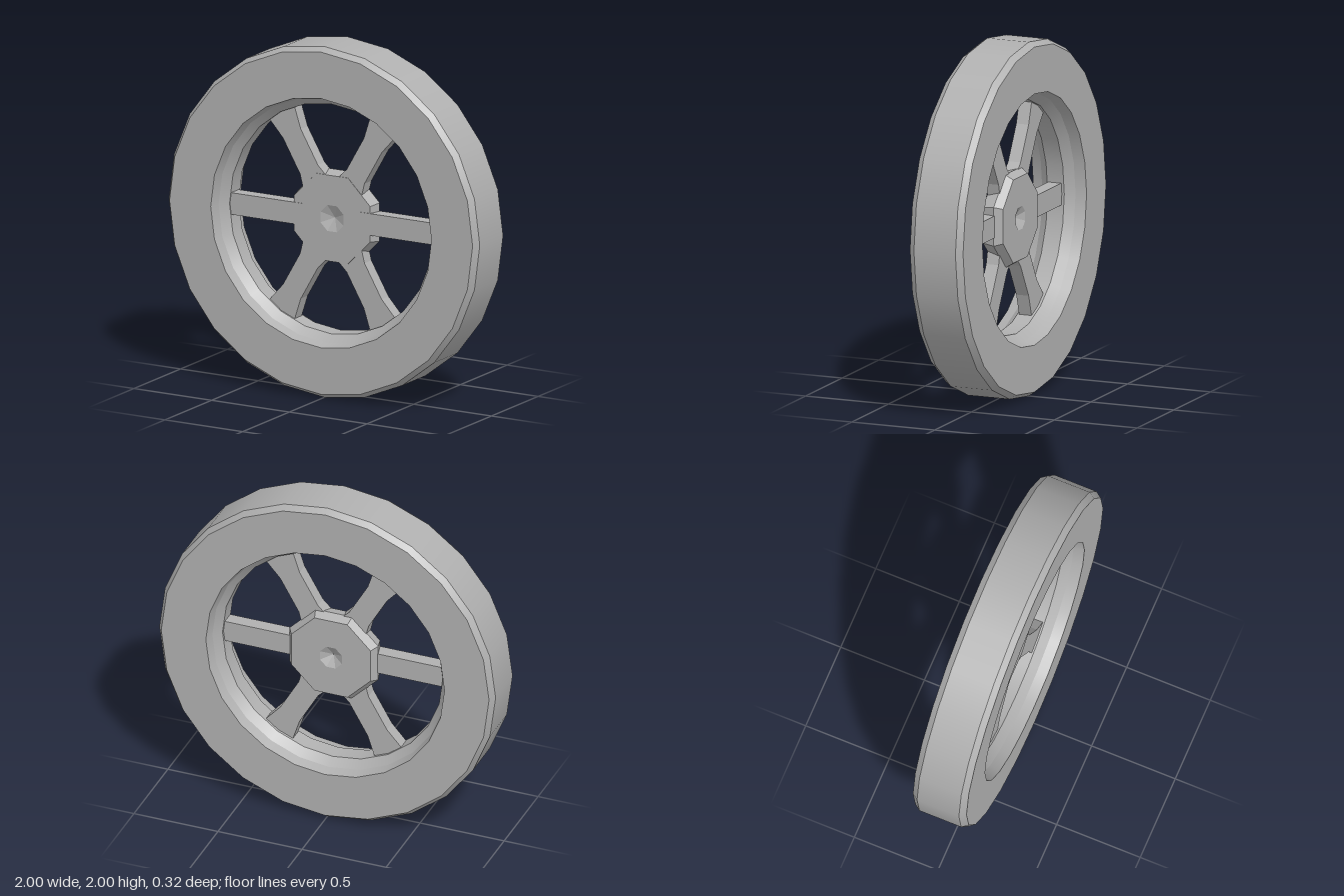
import * as THREE from 'three';
import { mergeGeometries } from 'three/addons/utils/BufferGeometryUtils.js';

// Revolve a profile of [radius, z] points around z, with a crease at each profile point
function ring(profile, segments) {
  const strips = [];
  for (let i = 0; i < profile.length - 1; i++) {
    const pts = [profile[i], profile[i + 1]].map(([r, z]) => new THREE.Vector2(r, z));
    strips.push(new THREE.LatheGeometry(pts, segments));
  }
  return mergeGeometries(strips).rotateX(Math.PI / 2);
}

// Flat spoke along +x, widened at hub and rim by the given flares
function spokeGeometry(hubHalf, half, rimHalf, back, front) {
  const side = [[0.18, hubHalf], [0.3, half], [0.52, half], [0.68, rimHalf]];
  const outline = [...side.map(([x, y]) => [x, -y]), ...side.slice().reverse()];
  const shape = new THREE.Shape(outline.map(([x, y]) => new THREE.Vector2(x, y)));
  const geo = new THREE.ExtrudeGeometry(shape, { depth: front - back, bevelEnabled: false });
  return geo.translate(0, 0, back);
}

export function createModel() {
  const model = new THREE.Group();
  model.name = 'wheel';
  const grey = new THREE.MeshStandardMaterial({ color: 0xb0b0b0 });
  grey.name = 'plain grey';

  const add = (name, geometry) => {
    const mesh = new THREE.Mesh(geometry, grey);
    mesh.name = name;
    mesh.position.y = 1;
    model.add(mesh);
    return mesh;
  };

  // Rim: bevelled outer edges, inner wall narrowing to a ridge in the middle
  add('rim', ring([
    [0.975, -0.16], [1, -0.125], [1, 0.125], [0.975, 0.16],
    [0.71, 0.16], [0.695, 0.1], [0.655, 0.05], [0.655, -0.05],
    [0.695, -0.1], [0.71, -0.16], [0.975, -0.16],
  ], 24));

  // Hub: faceted octagonal boss, dimpled on both sides
  const hubProfile = [[0, -0.035], [0.07, -0.075], [0.255, -0.075], [0.285, -0.03],
    [0.265, 0.042], [0.08, 0.042], [0, 0.01]].map(([r, z]) => new THREE.Vector2(r, z));
  const hub = new THREE.LatheGeometry(hubProfile, 8, Math.PI / 8)
    .rotateX(Math.PI / 2).toNonIndexed();
  hub.computeVertexNormals();
  add('hub', hub);

  // Six spokes: the level pair is straight, the slanted four are flared
  const straight = spokeGeometry(0.062, 0.062, 0.062, -0.035, 0.045);
  const flared = spokeGeometry(0.1, 0.066, 0.1, -0.035, 0.04);
  for (let i = 0; i < 6; i++) {
    const spoke = add('spoke' + (i + 1), i % 3 === 0 ? straight : flared);
    spoke.rotation.z = (i * Math.PI) / 3;
  }
  return model;
}
